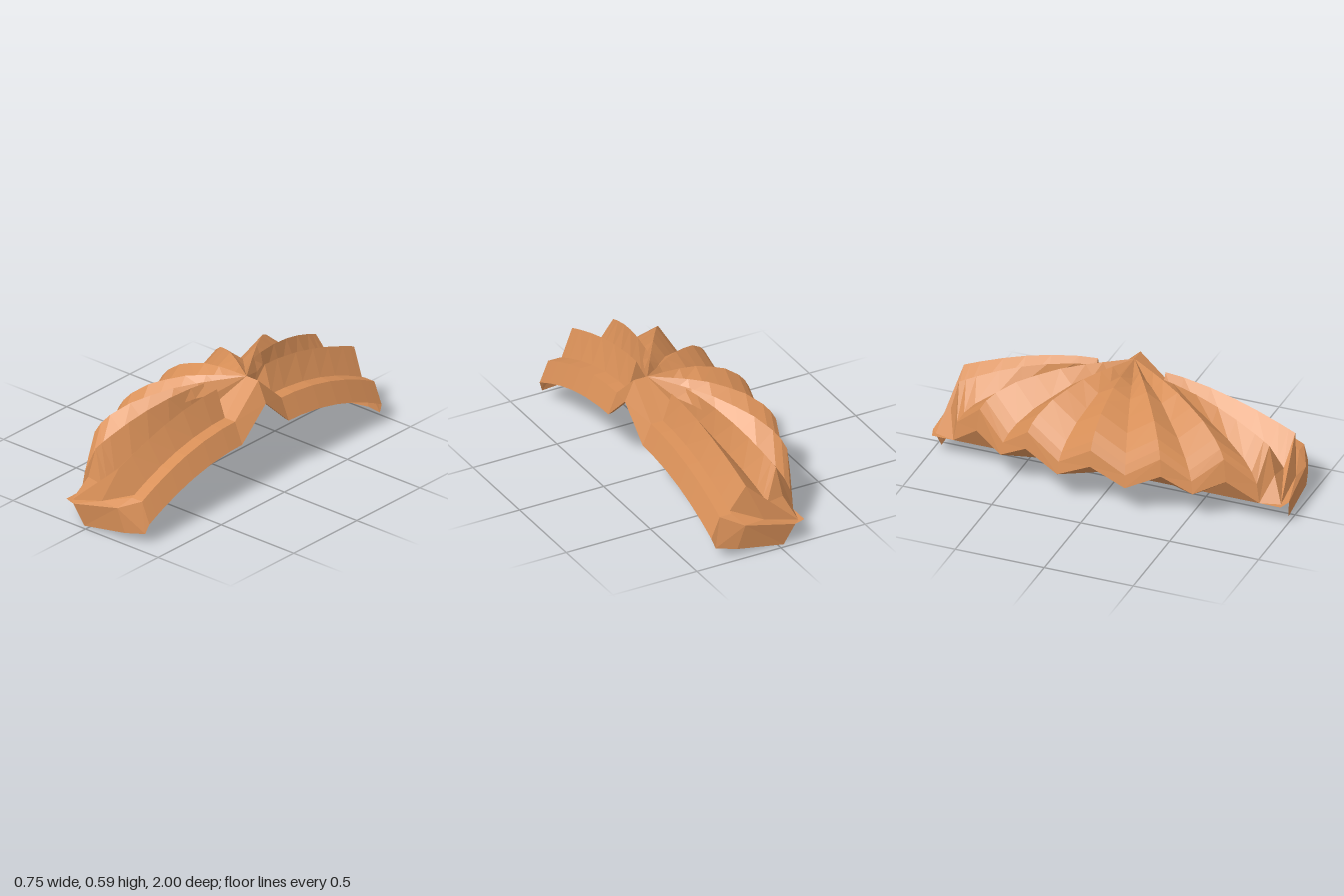
import * as THREE from 'three';

// Crest profile: reach from the apex, and height above the spoke's end
const REACH = [0, 0.2, 0.31, 0.47, 0.62, 0.75, 0.88, 0.94, 0.98, 1];
const HEIGHT = [1, 0.99, 0.98, 0.94, 0.85, 0.75, 0.57, 0.44, 0.3, 0];
const APEX = [0.24, 0.59, 0];
const LAST = REACH.length - 1;
const lerp = THREE.MathUtils.lerp;

// Fold line straight out from the apex; power shapes the fall, sag deepens a valley
function spoke(end, power = 1, sag = 0) {
  return REACH.map((f, i) => {
    const dip = sag * Math.min(1, f / 0.2, (1 - f) / 0.3);
    const y = lerp(end[1], APEX[1], Math.pow(HEIGHT[i], power)) - dip;
    return [lerp(APEX[0], end[0], f), y, f * end[2]];
  });
}

// Line along the straight side: from a start point, arching down over its length
function run({ start, x0, x1 = x0, top, fall, bend = 2, length = 0.92, end }) {
  const line = REACH.map((f) => {
    const t = Math.max(0, f - 0.2) / 0.8;
    return [lerp(x0, x1, t), top - fall * Math.pow(t, bend), f * length];
  });
  line[0] = start;
  if (end) line[LAST] = end;
  return line;
}

// Loft between neighbouring lines
function loft(lines) {
  const tris = [];
  for (let j = 0; j < lines.length - 1; j++) {
    for (let i = 0; i < lines[j].length - 1; i++) {
      const a = lines[j][i], b = lines[j + 1][i];
      const c = lines[j][i + 1], d = lines[j + 1][i + 1];
      tris.push([a, c, b], [b, c, d]);
    }
  }
  return tris;
}

export function createModel() {
  const group = new THREE.Group();
  const material = new THREE.MeshStandardMaterial({
    color: 0xd99058, flatShading: true, side: THREE.DoubleSide,
  });

  // Builds a part and its mirror image across z = 0
  function addPart(name, tris) {
    for (const side of [1, -1]) {
      const data = [];
      for (const [a, b, c] of tris) {
        for (const p of side > 0 ? [a, b, c] : [a, c, b]) data.push(p[0], p[1], p[2] * side);
      }
      const geometry = new THREE.BufferGeometry();
      geometry.setAttribute('position', new THREE.Float32BufferAttribute(data, 3));
      geometry.computeVertexNormals();
      const mesh = new THREE.Mesh(geometry, material);
      mesh.name = name + (side > 0 ? 'Front' : 'Back');
      group.add(mesh);
    }
  }

  // Pleated fan: ridges and valleys in turn
  const folds = [
    spoke([-0.375, 0.27, 0], 1.05),
    spoke([-0.36, 0.175, 0.19], 1.45, 0.04),
    spoke([-0.33, 0.27, 0.38]),
    spoke([-0.285, 0.175, 0.54], 1.45, 0.045),
    spoke([-0.22, 0.25, 0.7], 0.82),
    spoke([-0.15, 0.12, 0.86], 1.2, 0.06),
    run({ start: APEX, x0: 0.12, x1: -0.045, top: 0.58, fall: 0.18, length: 0.89, end: [-0.06, 0.25, 0.91] }),
    run({ start: APEX, x0: 0.125, x1: 0.035, top: 0.42, fall: 0.185, length: 0.94, end: [-0.12, 0.12, 0.97] }),
  ];
  const innerValley = folds[folds.length - 1];

  // Side ridge, standing between the inner valley and the gutter
  const sideRidge = run({
    start: [0.2, 0.42, 0.184], x0: 0.2, x1: 0.17, top: 0.572, fall: 0.195, bend: 1.7,
    length: 0.95, end: [0.085, 0.18, 0.97],
  });
  const gutter = run({ start: [0.25, 0.59, 0], x0: 0.25, top: 0.42, fall: 0.185 });
  const rimTop = run({ start: [0.32, 0.59, 0], x0: 0.32, top: 0.42, fall: 0.185 });
  const rimBottom = run({ start: [0.373, 0.475, 0], x0: 0.37, top: 0.303, fall: 0.185 });
  const lipEdge = run({ start: [0.34, 0.48, 0], x0: 0.34, top: 0.308, fall: 0.185 });
  addPart('pleatedFan', loft(folds));
  addPart('sideRidge', [
    ...loft([innerValley, sideRidge, gutter].map((line) => line.slice(1))),
    [innerValley[1], sideRidge[1], gutter[1]],
  ]);
  addPart('chevronFloor', [
    [APEX, innerValley[1], gutter[1]], [APEX, gutter[1], gutter[0]],
  ]);
  addPart('rimLedge', loft([gutter, rimTop]));
  addPart('rimSkirt', loft([rimTop, rimBottom]));
  addPart('rimLip', loft([rimBottom, lipEdge]));

  // Sloping base from the zigzag hem in to a straight line
  const hem = folds.map((line) => line[LAST]);
  const inner = (p) => [-0.15, 0.12, p[2]];
  const base = [];
  for (let i = 0; i < 5; i++) {
    const a = hem[i], b = hem[i + 1];
    base.push([a, inner(a), b], [b, inner(a), inner(b)]);
  }
  addPart('base', base);

  // End flange between the hem and the foot
  const corner = [-0.15, 0.12, 0.98];
  const footTop = [[-0.085, 0.12, 1], [0.2, 0.18, 0.98], rimTop[LAST]];
  const [v2, r3, v3] = hem.slice(5);
  const r4 = sideRidge[LAST], g = gutter[LAST];
  addPart('endFlange', [
    [v2, v3, r3], [v2, corner, v3], [v3, corner, footTop[0]],
    [v3, footTop[0], r4], [r4, footTop[0], footTop[1]],
    [r4, footTop[1], g], [g, footTop[1], footTop[2]],
  ]);

  // Foot: the skirt wrapped around the end
  const heel = [0.35, 0.06, 0.93], sole = [0.24, 0.043, 0.965], toe = [-0.03, 0, 0.975];
  addPart('foot', [
    [footTop[2], heel, rimBottom[LAST]],
    [footTop[2], footTop[1], heel],
    [footTop[1], sole, heel],
    [footTop[1], toe, sole],
    [footTop[1], footTop[0], toe],
  ]);

  return group;
}
